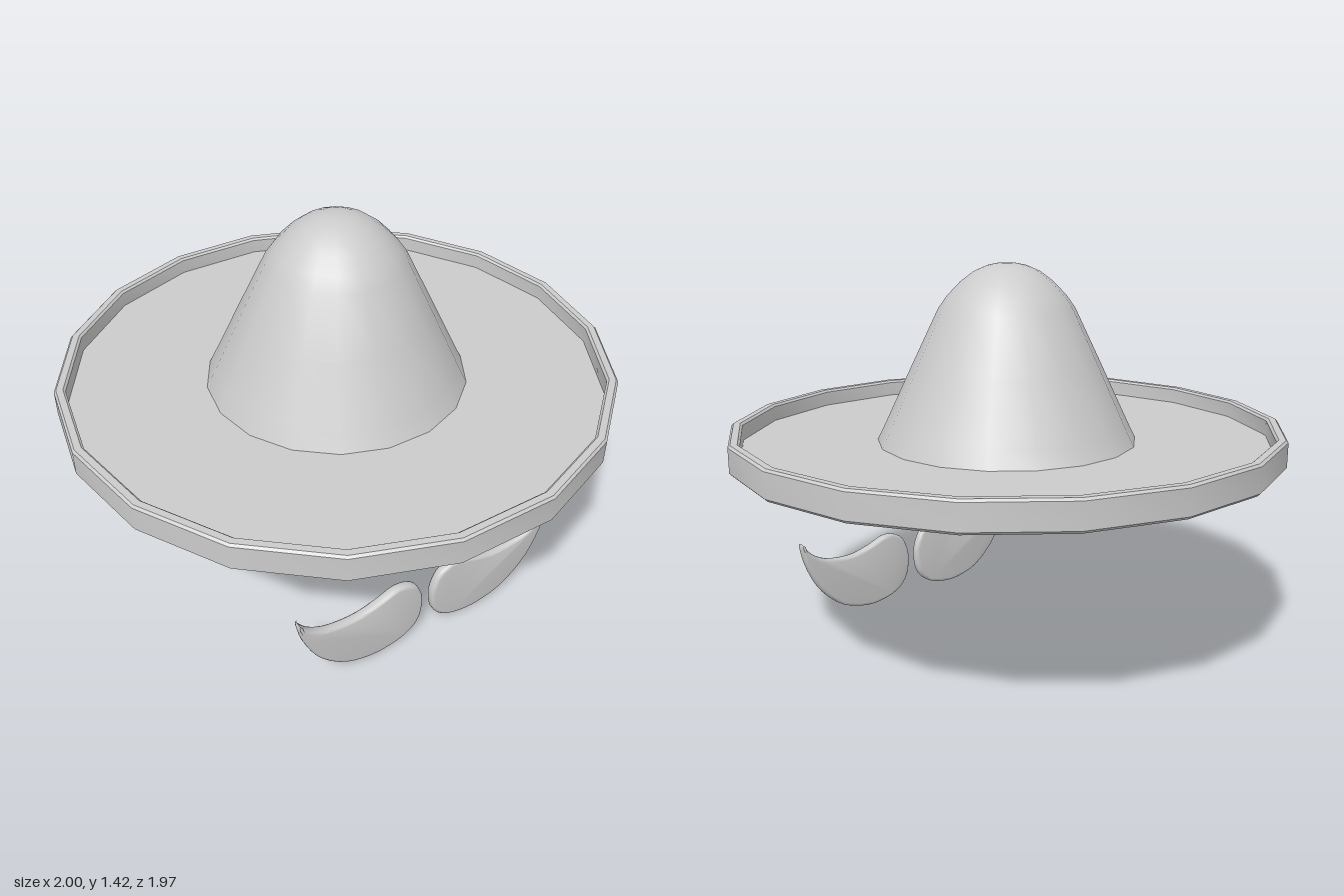
import * as THREE from 'three';
import { toCreasedNormals } from 'three/addons/utils/BufferGeometryUtils.js';

const material = new THREE.MeshStandardMaterial({ color: 0xcccccc });
const toPoints = (pairs) => pairs.map(([x, y]) => new THREE.Vector2(x, y));

// 18-sided turned part with a vertex on the x axis
function turned(name, pairs) {
  const geometry = new THREE.LatheGeometry(toPoints(pairs), 18, Math.PI / 2);
  const mesh = new THREE.Mesh(toCreasedNormals(geometry, 0.65), material);
  mesh.name = name;
  return mesh;
}

// One half of the moustache: side = 1 for left (+x), -1 for right
function moustacheHalf(name, side) {
  const outline = [
    [0.527, 0.335], [0.485, 0.285], [0.41, 0.247], [0.3, 0.237], [0.21, 0.257],
    [0.13, 0.284], [0.062, 0.265], [0.03, 0.215], [0.02, 0.155], [0.035, 0.08],
    [0.085, 0.03], [0.165, 0.006], [0.25, 0.006], [0.355, 0.04], [0.45, 0.125],
    [0.507, 0.23], [0.53, 0.315], [0.527, 0.335],
  ];
  const points = toPoints(outline.map(([x, y]) => [x * side, y]));
  const shape = new THREE.Shape();
  shape.moveTo(points[0].x, points[0].y);
  shape.splineThru(points.slice(1));
  const geometry = new THREE.ExtrudeGeometry(shape, {
    depth: 0.012, curveSegments: 3, bevelEnabled: true,
    bevelThickness: 0.013, bevelSize: 0.012, bevelOffset: -0.012, bevelSegments: 3,
  });
  geometry.translate(-0.004, 0, 0.606);
  const mesh = new THREE.Mesh(toCreasedNormals(geometry, 0.65), material);
  mesh.name = name;
  return mesh;
}

export function createModel() {
  const group = new THREE.Group();
  group.name = 'hatAndMoustache';

  // Wide brim: underside, rounded upturned rim and sunken top surface
  group.add(turned('brim', [
    [0.41, 0.742], [0.99, 0.742], [1, 0.752], [1, 0.84], [0.992, 0.848],
    [0.968, 0.848], [0.96, 0.84], [0.96, 0.785], [0.46, 0.785],
  ]));

  // Tall rounded crown
  group.add(turned('crown', [
    [0.472, 0.785], [0.44, 0.85], [0.34, 1.062], [0.245, 1.26], [0.213, 1.305],
    [0.165, 1.355], [0.118, 1.39], [0.072, 1.41], [0.035, 1.418], [0, 1.42],
  ]));

  // Hollow for the head, seen from below
  group.add(turned('headOpening', [
    [0, 1.055], [0.23, 1.055], [0.326, 0.895], [0.41, 0.742],
  ]));

  // Curled moustache in front
  group.add(moustacheHalf('moustacheLeft', 1), moustacheHalf('moustacheRight', -1));
  return group;
}
